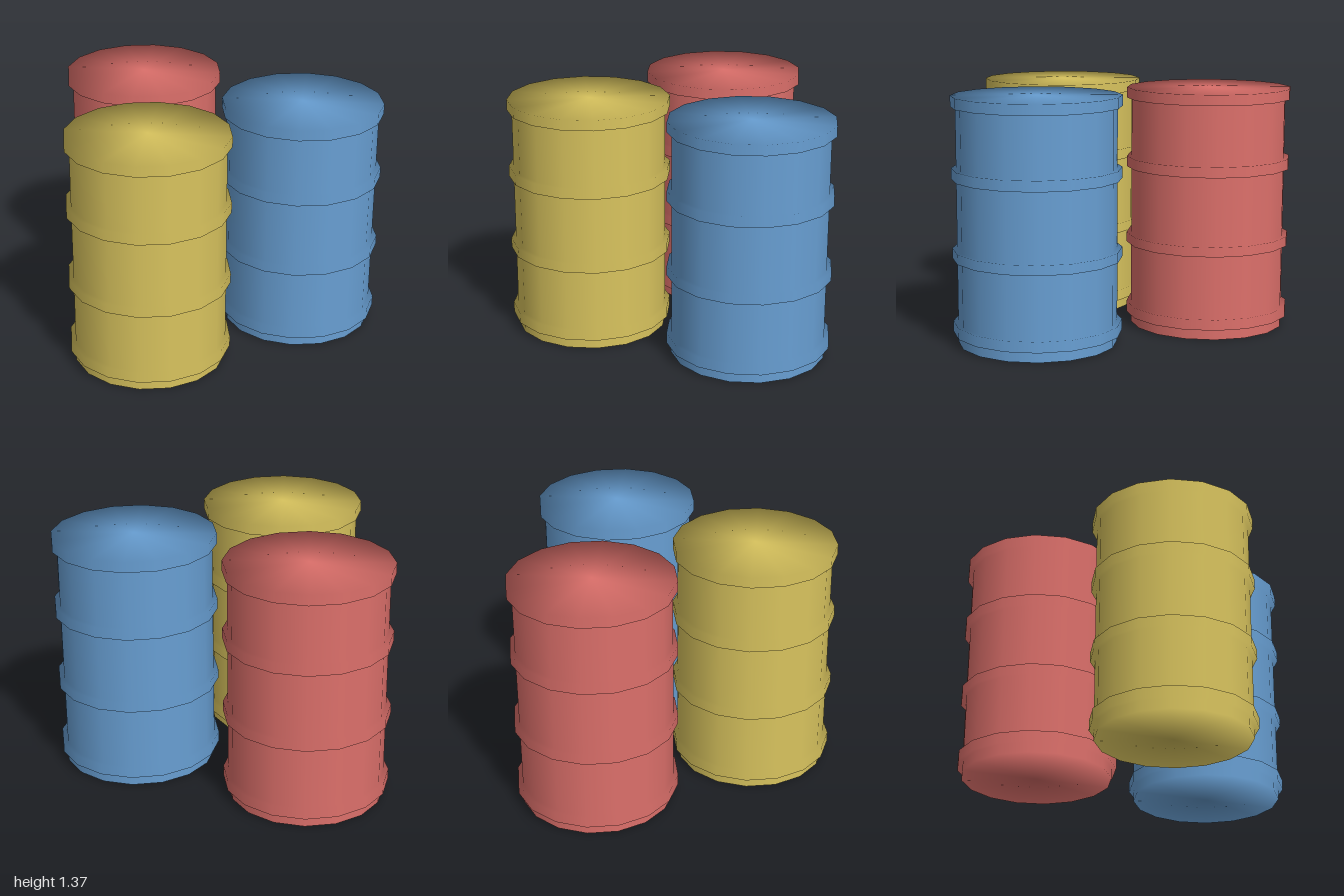
import * as THREE from 'three';

const SIDES = 16;
const HEIGHT = 1.37;
const BODY_R = 0.44;
const BAND_R = 0.467;
// bottom and top height of each hoop
const BANDS = [[0.06, 0.12], [0.475, 0.53], [0.915, 0.975], [1.31, HEIGHT]];

// Closed drum: flat ends, straight wall and four raised square hoops
function drumGeometry() {
  const points = [new THREE.Vector2(0, 0), new THREE.Vector2(BODY_R, 0)];
  for (const [low, high] of BANDS) {
    points.push(
      new THREE.Vector2(BODY_R, low),
      new THREE.Vector2(BAND_R, low),
      new THREE.Vector2(BAND_R, high)
    );
    if (high < HEIGHT) points.push(new THREE.Vector2(BODY_R, high));
  }
  points.push(new THREE.Vector2(0, HEIGHT));
  const geometry = new THREE.LatheGeometry(points, SIDES);

  // Soft shading: wall normals point straight out, end centres straight up or down
  const pos = geometry.attributes.position;
  const normal = geometry.attributes.normal;
  const n = new THREE.Vector3();
  for (let i = 0; i < pos.count; i++) {
    n.set(pos.getX(i), 0, pos.getZ(i));
    if (n.length() < 0.001) n.set(0, pos.getY(i) > HEIGHT / 2 ? 1 : -1, 0);
    n.normalize();
    normal.setXYZ(i, n.x, n.y, n.z);
  }
  return geometry;
}

export function createModel() {
  const model = new THREE.Group();
  model.name = 'drums';
  const geometry = drumGeometry();

  // Three drums in a triangle
  const drums = [
    ['yellow', 0xd9c45e, 0, 0.428],
    ['red', 0xdd706b, -0.533, -0.428],
    ['blue', 0x689fd3, 0.533, -0.428],
  ];
  for (const [name, color, x, z] of drums) {
    const material = new THREE.MeshStandardMaterial({ color });
    material.name = `${name} paint`;
    const drum = new THREE.Mesh(geometry, material);
    drum.name = `${name}Drum`;
    drum.position.set(x, 0, z);
    model.add(drum);
  }
  return model;
}
